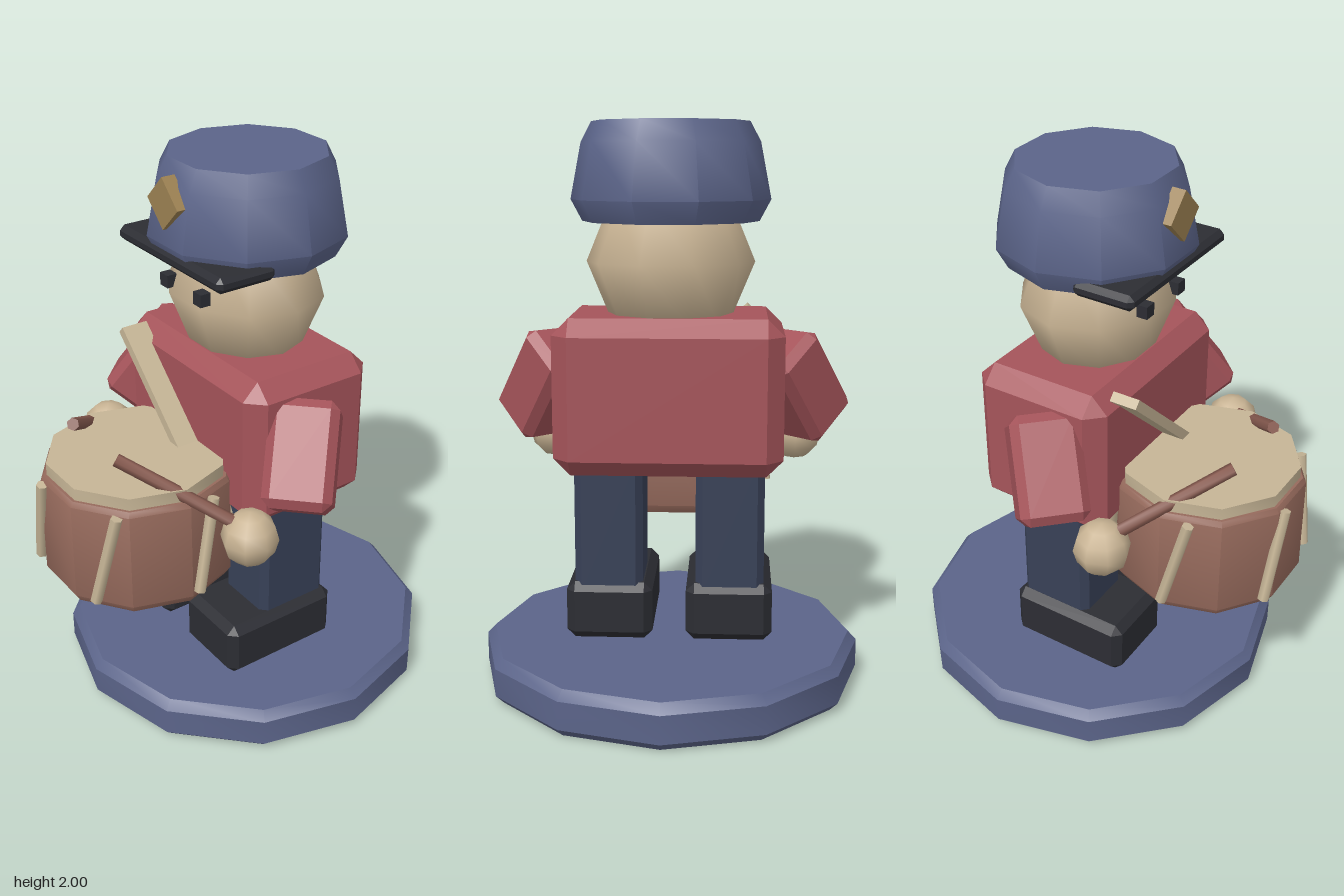
import * as THREE from 'three';
import { toCreasedNormals } from 'three/addons/utils/BufferGeometryUtils.js';
import { ConvexGeometry } from 'three/addons/geometries/ConvexGeometry.js';

const mat = (name, color) => new THREE.MeshStandardMaterial({ name, color });

// Box with cut edges and corners, centred on its origin
function chamferBox(w, h, d, c) {
  const points = [];
  for (const x of [-w / 2, w / 2]) for (const y of [-h / 2, h / 2]) for (const z of [-d / 2, d / 2]) {
    const cx = x - Math.sign(x) * c, cy = y - Math.sign(y) * c, cz = z - Math.sign(z) * c;
    points.push(new THREE.Vector3(x, cy, cz), new THREE.Vector3(cx, y, cz), new THREE.Vector3(cx, cy, z));
  }
  return new ConvexGeometry(points);
}

// Few-sided turned shape from [radius, y] pairs, bottom to top, with a corner on +x
function turned(profile, sides) {
  const points = profile.map(([r, y]) => new THREE.Vector2(r, y));
  return toCreasedNormals(new THREE.LatheGeometry(points, sides, Math.PI / 2), 0.7);
}

export function createModel() {
  const group = new THREE.Group();
  const blue = mat('hat blue', 0x5b6489);
  const red = mat('coat red', 0xa5545a);
  const navy = mat('trouser navy', 0x384157);
  const black = mat('boot black', 0x2c2d33);
  const skin = mat('skin', 0xc9b494);
  const cream = mat('cream', 0xc6b596);
  const brown = mat('drum brown', 0x966a5c);
  const wood = mat('stick brown', 0x885b50);
  const gold = mat('badge gold', 0x9c8152);

  const add = (name, geometry, material, x = 0, y = 0, z = 0) => {
    const mesh = new THREE.Mesh(geometry, material);
    mesh.name = name;
    mesh.position.set(x, y, z);
    group.add(mesh);
    return mesh;
  };

  // Base
  add('base', turned([[0, 0], [0.655, 0], [0.685, 0.03], [0.685, 0.13], [0.655, 0.163], [0, 0.163]], 12), blue, 0, 0, -0.07);

  // Torso and head
  add('torso', chamferBox(0.8, 0.55, 0.515, 0.06), red, 0, 1.065, -0.065);
  add('head', new THREE.SphereGeometry(0.297, 10, 4), skin, 0, 1.52, -0.0625).scale.z = 0.9;

  // Hat, visor and badge
  add('hat', turned([[0, 1.66], [0.31, 1.66], [0.35, 1.735], [0.312, 1.93], [0.275, 2], [0, 2]], 10), blue, 0, 0, -0.07);
  add('visor', chamferBox(0.61, 0.055, 0.23, 0.018), black, 0, 1.688, 0.145);
  add('badge', new THREE.BoxGeometry(0.125, 0.125, 0.05), gold, 0, 1.877, 0.242).rotation.z = Math.PI / 4;

  // Mirrored parts
  for (const s of [1, -1]) {
    const side = s > 0 ? 'left' : 'right';
    add(side + 'Boot', chamferBox(0.31, 0.21, 0.465, 0.03), black, s * 0.215, 0.27, 0.022);
    add(side + 'Leg', chamferBox(0.245, 0.52, 0.285, 0.025), navy, s * 0.217, 0.58, -0.048);
    add(side + 'Eye', new THREE.BoxGeometry(0.045, 0.045, 0.04), black, s * 0.1, 1.565, 0.186);

    // Arm leans outwards and forwards
    const arm = add(side + 'Arm', chamferBox(0.235, 0.37, 0.235, 0.03), red, s * 0.447, 1.07, 0.02);
    arm.rotation.set(-0.63, s * Math.PI / 4, 0, 'YXZ');
    add(side + 'Hand', new THREE.SphereGeometry(0.1, 8, 6), skin, s * 0.46, 0.842, 0.247);

    // Drumstick from the hand to above the drum
    const from = new THREE.Vector3(s * 0.45, 0.885, 0.265), to = new THREE.Vector3(s * 0.145, 1.1, 0.565);
    const dir = to.clone().sub(from);
    const stick = add(side + 'Drumstick', toCreasedNormals(new THREE.CylinderGeometry(0.023, 0.023, dir.length(), 6), 1.1), wood);
    stick.position.copy(from).add(to).multiplyScalar(0.5);
    stick.quaternion.setFromUnitVectors(new THREE.Vector3(0, 1, 0), dir.normalize());
  }

  // Drum
  add('drumBody', turned([[0, 0.56], [0.325, 0.56], [0.344, 0.59], [0.34, 0.95], [0.328, 0.968], [0, 0.968]], 10), brown, 0, 0, 0.4);
  add('drumSkin', turned([[0, 0.95], [0.318, 0.95], [0.318, 1.012], [0, 1.012]], 10), cream, 0, 0, 0.4);
  for (let i = 0; i < 6; i++) {
    const a = THREE.MathUtils.degToRad(40 + i * 60);
    const bar = add('drumBar', new THREE.CylinderGeometry(0.021, 0.021, 0.35, 6), cream,
      Math.sin(a) * 0.346, 0.78, 0.4 + Math.cos(a) * 0.346);
    bar.rotation.set(-0.04, a, -0.24, 'YXZ');
  }

  // Strap across the chest
  add('strap', new THREE.BoxGeometry(0.5, 0.035, 0.1), cream, -0.105, 1.155, 0.225).rotation.z = -0.755;

  return group;
}
